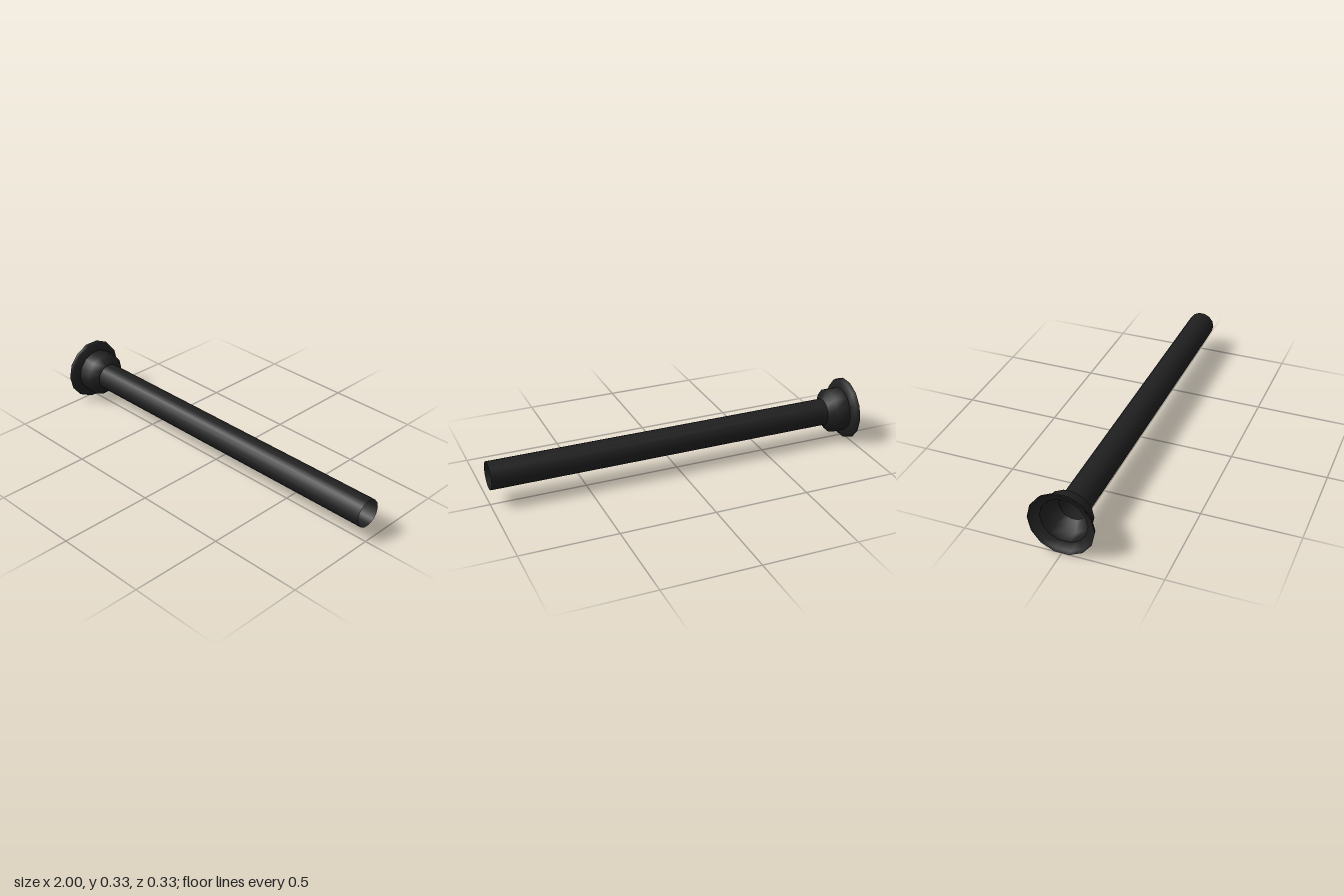
import * as THREE from 'three';

const SIDES = 14;
const AXIS_HEIGHT = 0.163;

export function createModel() {
  const group = new THREE.Group();
  const blackMetal = new THREE.MeshStandardMaterial({ color: 0x1f1f1f, side: THREE.DoubleSide });
  blackMetal.name = 'blackMetal';

  // Open thin shell turned about the x axis from [x, radius] pairs
  const addShell = (name, profile) => {
    const points = profile.map(([x, r]) => new THREE.Vector2(r, x));
    const geometry = new THREE.LatheGeometry(points, SIDES);
    geometry.rotateZ(-Math.PI / 2);
    const mesh = new THREE.Mesh(geometry, blackMetal);
    mesh.name = name;
    mesh.position.y = AXIS_HEIGHT;
    group.add(mesh);
  };

  // Flared rim, open at the outer end
  addShell('flange', [[-1, 0.167], [-0.98, 0.162], [-0.967, 0.12]]);
  // Collar that tapers down to the tube
  addShell('collar', [[-0.967, 0.12], [-0.893, 0.12], [-0.857, 0.073]]);
  // Long hollow tube
  addShell('tube', [[-0.857, 0.073], [1, 0.073]]);

  return group;
}
